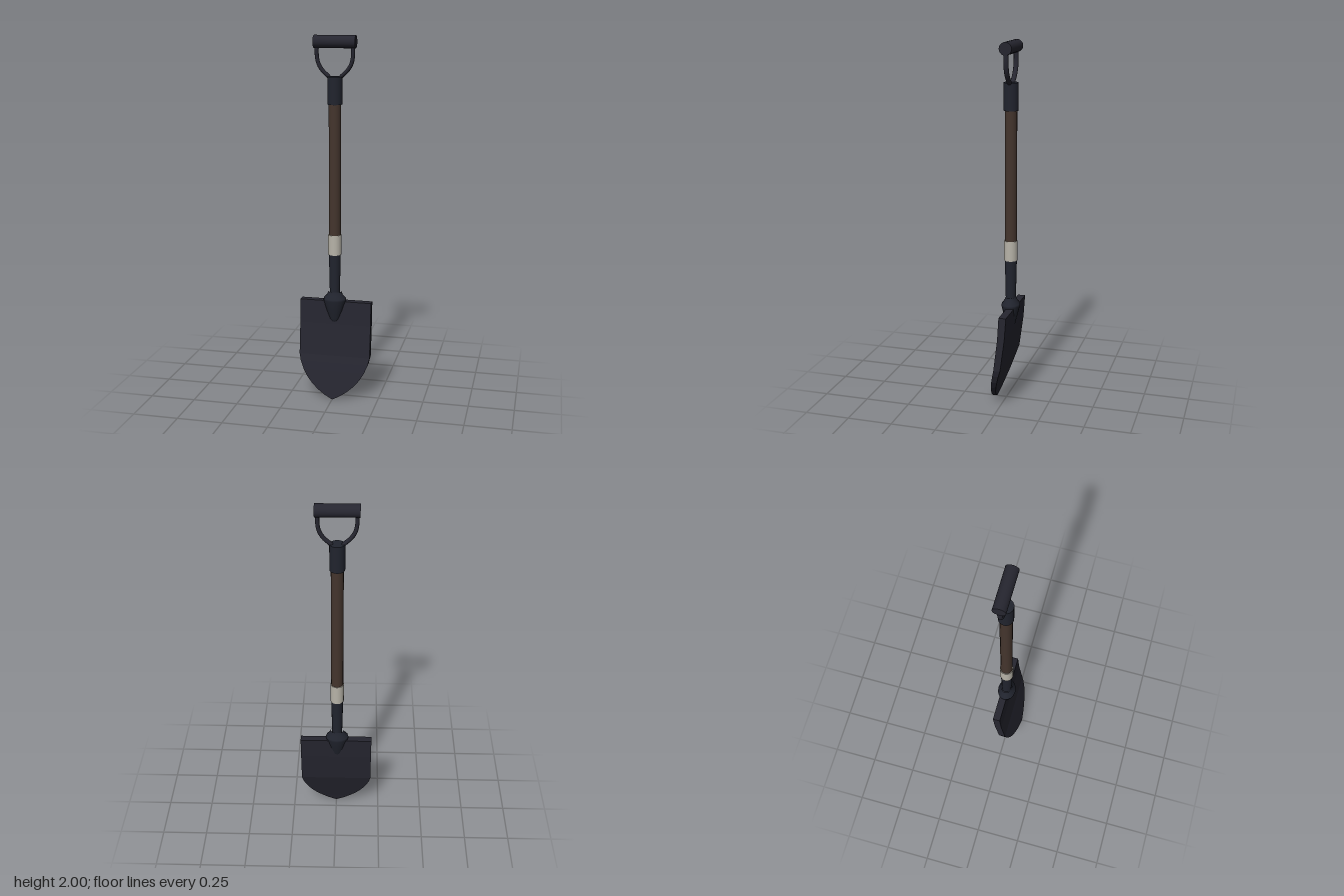
import * as THREE from 'three';

const CX = -0.006, CZ = -0.023; // axis of the shaft

function material(name, color) {
  const m = new THREE.MeshStandardMaterial({ color });
  m.name = name;
  return m;
}

export function createModel() {
  const group = new THREE.Group();
  const darkSteel = material('darkSteel', 0x262630);
  const socketSteel = material('socketSteel', 0x21242e);
  const wood = material('brownWood', 0x44352d);
  const band = material('paleBand', 0xb8b4a9);

  const add = (name, geometry, mat) => {
    const mesh = new THREE.Mesh(geometry, mat);
    mesh.name = name;
    group.add(mesh);
    return mesh;
  };
  // Round section of the shaft between two heights
  const rod = (name, y0, y1, r0, r1, mat) => {
    const mesh = add(name, new THREE.CylinderGeometry(r1, r0, y1 - y0, 16), mat);
    mesh.position.set(CX, (y0 + y1) / 2, CZ);
    return mesh;
  };

  rod('shaft', 0.9, 1.66, 0.033, 0.033, wood);
  rod('collarBand', 0.817, 0.928, 0.037, 0.037, band);
  rod('upperSocket', 1.638, 1.785, 0.04, 0.04, socketSteel);
  rod('lowerSocket', 0.59, 0.82, 0.028, 0.033, socketSteel);

  // Flared foot of the socket, tapering into the blade
  const flare = [[0, 0.415], [0.014, 0.42], [0.025, 0.45], [0.04, 0.51], [0.051, 0.555], [0.05, 0.566], [0.036, 0.585], [0.029, 0.605]];
  const foot = add('socketFlare', new THREE.LatheGeometry(flare.map(p => new THREE.Vector2(...p)), 16), socketSteel);
  foot.scale.x = 1.25;
  foot.position.set(CX, 0, CZ);

  // Cross grip
  const grip = add('grip', new THREE.CylinderGeometry(0.034, 0.034, 0.226, 20), darkSteel);
  grip.rotation.z = Math.PI / 2;
  grip.position.set(CX, 1.966, CZ);

  // Two curved arms joining grip and socket
  for (const side of [-1, 1]) {
    const path = new THREE.CatmullRomCurve3(
      [[0.097, 1.96], [0.097, 1.89], [0.088, 1.85], [0.066, 1.815], [0.036, 1.787], [0.018, 1.765]]
        .map(([x, y]) => new THREE.Vector3(side * x, y, 0)));
    const arm = add(side > 0 ? 'leftArm' : 'rightArm', new THREE.TubeGeometry(path, 20, 0.0105, 10), darkSteel);
    arm.scale.z = 1.3;
    arm.position.set(CX, 0, CZ);
  }

  // Blade: a box whose rows follow the outline and the forward bend
  // [height, half width, front z, thickness], top to tip
  const rows = [
    [0.55, 0.2, -0.012, 0.041], [0.42, 0.2, -0.004, 0.04], [0.24, 0.2, 0.018, 0.038],
    [0.2, 0.191, 0.028, 0.035], [0.155, 0.172, 0.039, 0.032], [0.115, 0.147, 0.048, 0.029],
    [0.08, 0.117, 0.056, 0.026], [0.05, 0.082, 0.063, 0.024], [0.025, 0.046, 0.068, 0.022],
    [0.01, 0.018, 0.071, 0.02], [0.003, 0.004, 0.073, 0.02],
  ];
  const n = rows.length - 1;
  const blade = new THREE.BoxGeometry(2, 1, 1, 1, n, 1);
  const pos = blade.attributes.position;
  for (let i = 0; i < pos.count; i++) {
    const [y, w, z, t] = rows[Math.round((0.5 - pos.getY(i)) * n)];
    pos.setXYZ(i, pos.getX(i) * w, y - (pos.getZ(i) < 0 && y < 0.5 ? -0.004 : 0), pos.getZ(i) > 0 ? z : z - t);
  }
  const flatBlade = blade.toNonIndexed();
  flatBlade.computeVertexNormals();
  add('blade', flatBlade, darkSteel);

  return group;
}
